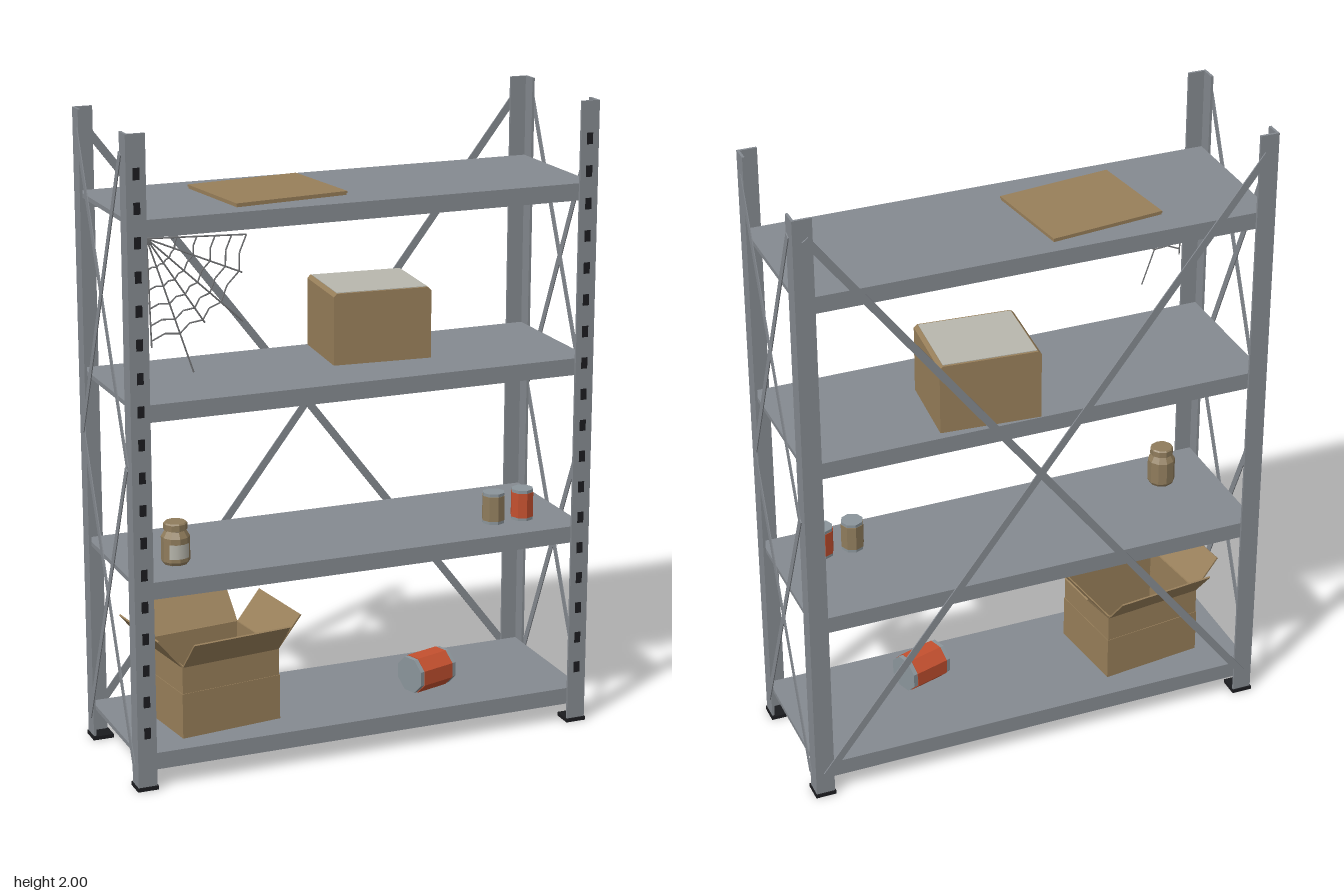
import * as THREE from 'three';

const mat = (name, color, extra = {}) => {
  const m = new THREE.MeshStandardMaterial({ color, ...extra });
  m.name = name;
  return m;
};

export function createModel() {
  const steel = mat('steel grey', 0x858a90);
  const dark = mat('dark slot', 0x1b1c1f);
  const card = mat('cardboard', 0x987f5a);
  const pale = mat('pale paper', 0xb8b7ad);
  const red = mat('red label', 0xc4502f);
  const tan = mat('tan tin', 0x8f7c5c);
  const tin = mat('tin rim', 0x8b959b);
  const silk = mat('cobweb silk', 0x77787a);

  const model = new THREE.Group();
  model.name = 'storageShelf';
  const add = (name, geo, material, x = 0, y = 0, z = 0, parent = model) => {
    const mesh = new THREE.Mesh(geo, material);
    mesh.name = name;
    mesh.position.set(x, y, z);
    parent.add(mesh);
    return mesh;
  };
  const box = (name, w, h, d, material, x, y, z, parent) =>
    add(name, new THREE.BoxGeometry(w, h, d), material, x, y, z, parent);
  const group = (name, x, y, z, ry = 0) => {
    const g = new THREE.Group();
    g.name = name;
    g.position.set(x, y, z);
    g.rotation.y = ry;
    model.add(g);
    return g;
  };

  // Angle-section uprights with foot plates; slots on the front pair
  for (const sx of [-1, 1]) {
    for (const sz of [-1, 1]) {
      const zo = sz > 0 ? 0.245 : -0.25;
      const post = group('upright', sx * 0.75, 0, zo);
      box('uprightFace', 0.06, 1.99, 0.008, steel, -sx * 0.03, 1.005, -sz * 0.004, post);
      box('uprightSide', 0.008, 1.99, 0.047, steel, -sx * 0.004, 1.005, -sz * 0.0315, post);
      box('footPlate', 0.066, 0.012, 0.066, dark, -sx * 0.03, 0.006, -sz * 0.029, post);
      if (sz > 0) {
        for (let i = 0; i < 18; i++) {
          box('slot', 0.02, 0.035, 0.003, dark, -sx * 0.031, 0.185 + i * 0.1, 0.0005, post);
        }
      }
    }
  }

  // Shelves: thin deck with folded front and back lips
  const shelfTops = [0.113, 0.655, 1.2, 1.748];
  for (const top of shelfTops) {
    box('shelfDeck', 1.482, 0.014, 0.476, steel, 0, top - 0.007, -0.002);
    for (const z of [0.231, -0.236]) {
      box('shelfLip', 1.482, 0.053, 0.01, steel, 0, top - 0.0265, z);
    }
  }

  // Crossed flat braces on the back and both ends
  for (const s of [-1, 1]) {
    const dx = 1.43, dy = 1.86;
    box('backBrace', Math.hypot(dx, dy), 0.024, 0.004, steel, 0, 1.01, -0.253 - (s > 0 ? 0.004 : 0))
      .rotation.z = s * Math.atan2(dy, dx);
    for (const sx of [-1, 1]) {
      for (const y of [0.54, 1.475]) {
        box('endBrace', 0.003, Math.hypot(0.42, 0.93), 0.022, steel,
          sx * (0.7515 + (s > 0 ? 0.003 : 0)), y, -0.002).rotation.x = s * Math.atan2(0.42, 0.93);
      }
    }
  }

  // Flat folded carton on the top shelf
  const flat = group('flatCarton', -0.226, 1.748, -0.008, 0.12);
  box('lowerSheet', 0.366, 0.006, 0.316, card, 0, 0.003, 0, flat);
  box('upperSheet', 0.37, 0.006, 0.32, card, 0, 0.009, 0, flat);

  // Closed carton, softly bevelled, with a pale top sheet
  const closed = group('closedCarton', 0.14, 1.2, -0.09, -0.08);
  const outline = new THREE.Shape();
  const cw = 0.157, ch = 0.224, b = 0.01;
  [[-cw, 0], [cw, 0], [cw, ch - b], [cw - b, ch], [b - cw, ch], [-cw, ch - b]].forEach(([x, y], i) =>
    i ? outline.lineTo(x, y) : outline.moveTo(x, y));
  const body = new THREE.ExtrudeGeometry(outline, { depth: 0.27, bevelEnabled: false });
  add('cartonBody', body, card, 0, 0, -0.135, closed);
  box('topSheet', 0.29, 0.003, 0.256, pale, 0, 0.2245, 0, closed);

  // Open carton: two-tier walls and four flaps leaning out
  const open = group('openCarton', -0.4275, 0.113, 0.0025, 0.12);
  const W = 0.335, D = 0.28, T = 0.006;
  box('cartonFloor', W - T, T, D - T, card, 0, T / 2, 0, open);
  for (const [h, y, inset] of [[0.144, 0.072, 0], [0.09, 0.189, 0.002]]) {
    for (const s of [-1, 1]) {
      box('cartonWall', W - 2 * inset, h, T, card, 0, y, s * (D / 2 - T / 2 - inset), open);
      box('cartonWall', T, h, D - 2 * inset - 2 * T, card, s * (W / 2 - T / 2 - inset), y, 0, open);
    }
  }
  for (let i = 0; i < 4; i++) {
    const hinge = new THREE.Group();
    hinge.name = 'cartonFlap';
    hinge.rotation.y = i * Math.PI / 2;
    open.add(hinge);
    const len = i % 2 ? D : W, reach = (i % 2 ? W : D) / 2;
    box('flapPanel', len - 0.008, 0.124, 0.005, card, 0, 0.232 + 0.047, reach + 0.037, hinge)
      .rotation.x = 0.69;
  }

  // Tins: coloured barrel with raised metal rims
  const makeTin = (name, r, h, color, parent) => {
    const tinGroup = new THREE.Group();
    tinGroup.name = name;
    parent.add(tinGroup);
    const cyl = (n, rad, height, m, y) => {
      const g = new THREE.CylinderGeometry(rad, rad, height, 8).toNonIndexed();
      g.computeVertexNormals();
      add(n, g, m, 0, y, 0, tinGroup);
    };
    cyl('tinBarrel', r, h * 0.8, color, 0);
    for (const s of [-1, 1]) cyl('tinRim', r * 0.96, h * 0.11, tin, s * h * 0.445);
    return tinGroup;
  };
  makeTin('tanTin', 0.037, 0.1, tan, group('tanTinSpot', 0.487, 0.705, 0.1));
  makeTin('redTin', 0.037, 0.1, red, group('redTinSpot', 0.587, 0.705, 0.1));
  const fallen = makeTin('fallenTin', 0.062, 0.146, red, group('fallenTinSpot', 0.282, 0.173, 0.057, 0.3));
  fallen.rotation.set(Math.PI / 8, 0, Math.PI / 2);

  // Jar with shoulder, lid and a paper label
  const jar = group('jar', -0.565, 0.655, 0.085);
  const profile = [[0, 0], [0.038, 0], [0.044, 0.01], [0.044, 0.085], [0.032, 0.105],
    [0.037, 0.107], [0.037, 0.126], [0.033, 0.13], [0, 0.13]].map(([x, y]) => new THREE.Vector2(x, y));
  const jarGeo = new THREE.LatheGeometry(profile, 10).toNonIndexed();
  jarGeo.computeVertexNormals();
  add('jarBody', jarGeo, tan, 0, 0, 0, jar);
  const label = new THREE.CylinderGeometry(0.0455, 0.0455, 0.045, 3, 1, true, -0.75, 1.5);
  add('jarLabel', label, pale, 0, 0.045, 0, jar);

  // Cobweb hanging in the upper front corner: spokes and sagging rings
  const web = group('cobweb', -0.69, 1.695, 0.24);
  const at = (deg, r) => {
    const a = THREE.MathUtils.degToRad(deg);
    return new THREE.Vector3(r * Math.cos(a), -r * Math.sin(a), 0.035 * r);
  };
  const thread = (p, q) => {
    const mesh = add('webThread', new THREE.TubeGeometry(new THREE.LineCurve3(p, q), 1, 0.0025, 4), silk, 0, 0, 0, web);
    return mesh;
  };
  const spokes = [[2, 0.3], [23, 0.31], [43, 0.39], [57, 0.31], [72, 0.425], [89, 0.32]];
  spokes.forEach(([deg, len], i) => {
    thread(at(deg, 0), at(deg, len));
    if (!i) return;
    const prev = spokes[i - 1][0];
    for (const r of [0.09, 0.15, 0.205, 0.255, 0.3]) {
      const mid = at((deg + prev) / 2, r * 0.95);
      thread(at(prev, r), mid);
      thread(mid, at(deg, r));
    }
  });

  return model;
}
